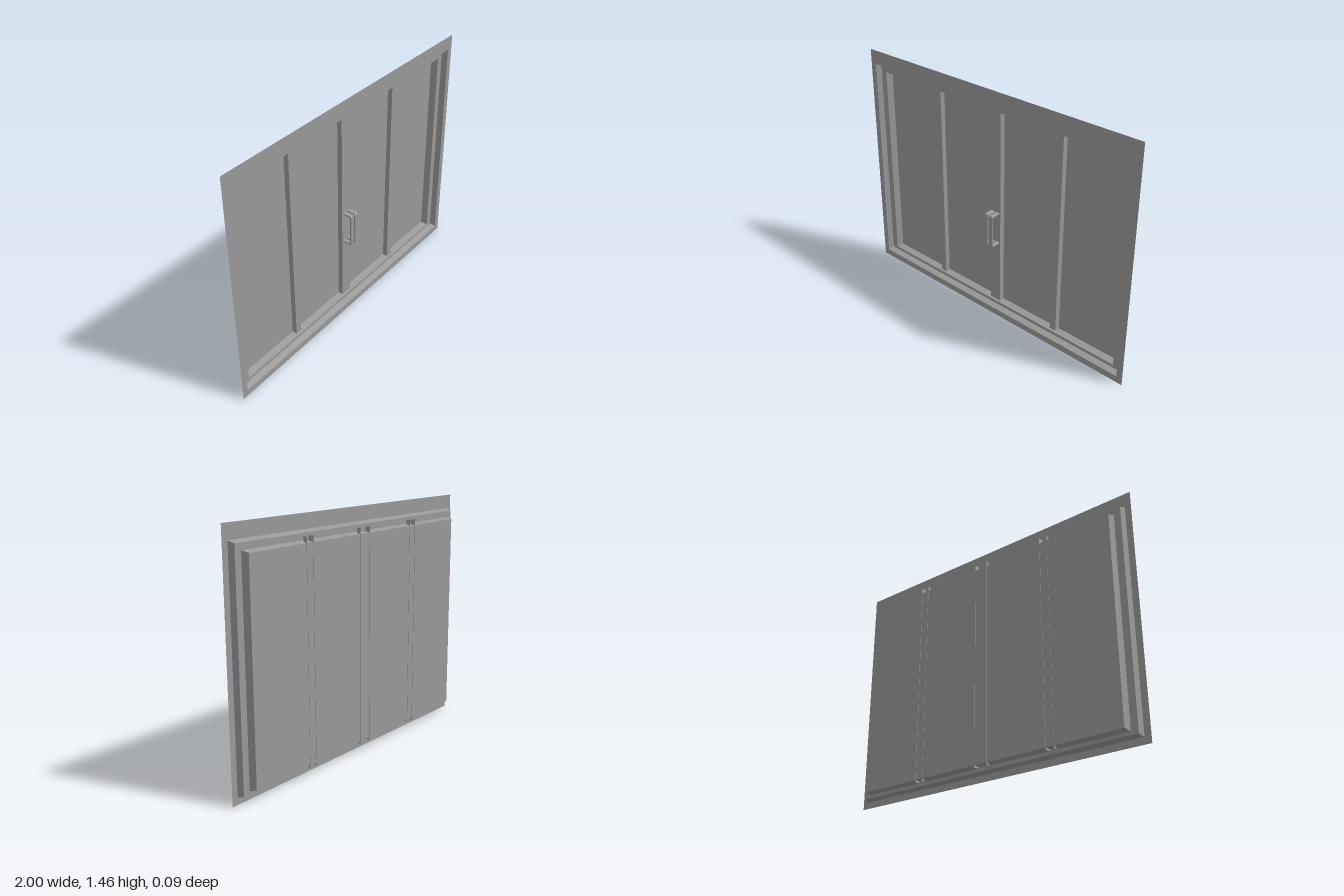
import * as THREE from 'three';

const mat = new THREE.MeshStandardMaterial({ color: 0x999999, side: THREE.DoubleSide, flatShading: true });

function add(parent, name, geometry) {
  const mesh = new THREE.Mesh(geometry, mat);
  mesh.name = name;
  parent.add(mesh);
  return mesh;
}

// Four-sided band between two rectangles, each given as [halfWidth, bottom, top, z]
function band(a, b) {
  const corners = ([w, y0, y1, z]) => [[-w, y0, z], [w, y0, z], [w, y1, z], [-w, y1, z]];
  const A = corners(a), B = corners(b), pos = [];
  for (let i = 0; i < 4; i++) {
    const j = (i + 1) % 4;
    pos.push(...A[i], ...A[j], ...B[j], ...A[i], ...B[j], ...B[i]);
  }
  const g = new THREE.BufferGeometry();
  g.setAttribute('position', new THREE.Float32BufferAttribute(pos, 3));
  g.computeVertexNormals();
  return g;
}

// Upright channel: a front face and two slanted sides, open at the back and ends
function channel(width, y0, y1, zBack, zFront) {
  const g = new THREE.PlaneGeometry(1, y1 - y0, 3, 1).toNonIndexed();
  const p = g.attributes.position;
  for (let i = 0; i < p.count; i++) {
    const x = p.getX(i), outer = Math.abs(x) > 0.4;
    p.setX(i, Math.sign(x) * (width / 2 - (outer ? 0 : 0.005)));
    p.setZ(i, outer ? zBack : zFront);
  }
  g.translate(0, (y0 + y1) / 2, 0);
  g.computeVertexNormals();
  return g;
}

// C-shaped pull handle drawn in depth (x) and height (y), extruded sideways
function handleGeometry(width) {
  const z0 = -0.018, z1 = 0.046, y0 = 0.479, y1 = 0.69, t = 0.012, c = 0.012, bevel = 0.003;
  const s = new THREE.Shape();
  s.moveTo(z0, y0);
  s.lineTo(z1 - c, y0);
  s.quadraticCurveTo(z1, y0, z1, y0 + c);
  s.lineTo(z1, y1 - c);
  s.quadraticCurveTo(z1, y1, z1 - c, y1);
  s.lineTo(z0, y1);
  s.lineTo(z0, y1 - t);
  s.lineTo(z1 - t - 0.005, y1 - t);
  s.lineTo(z1 - t, y1 - t - 0.005);
  s.lineTo(z1 - t, y0 + t + 0.005);
  s.lineTo(z1 - t - 0.005, y0 + t);
  s.lineTo(z0, y0 + t);
  s.closePath();
  const g = new THREE.ExtrudeGeometry(s, {
    depth: width - 2 * bevel, curveSegments: 3,
    bevelSize: bevel, bevelThickness: bevel, bevelOffset: -bevel, bevelSegments: 1,
  });
  g.translate(0, 0, bevel - width / 2);
  g.rotateY(-Math.PI / 2);
  return g;
}

export function createModel() {
  const model = new THREE.Group();
  model.name = 'slidingDoor';

  // Stepped frame, from the outer border back to the glass
  const steps = [
    ['outerBorder', [1, 0, 1.463, 0.034]],
    ['outerReveal', [0.962, 0.04, 1.377, 0.034]],
    ['innerBorder', [0.952, 0.051, 1.365, -0.002]],
    ['innerReveal', [0.91, 0.07, 1.327, -0.002]],
    ['glass', [0.899, 0.079, 1.317, -0.043]],
  ];
  for (let i = 0; i < steps.length - 1; i++) {
    add(model, steps[i][0], band(steps[i][1], steps[i + 1][1]));
  }

  // Glass pane closing the back of the frame
  const [w, y0, y1, z] = steps[4][1];
  add(model, 'glass', new THREE.PlaneGeometry(w * 2, y1 - y0)).position.set(0, (y0 + y1) / 2, z);

  // Posts dividing the four panels
  for (const [name, x, width] of [['rightPost', -0.462, 0.052], ['centrePost', 0, 0.088], ['leftPost', 0.462, 0.052]]) {
    add(model, name, channel(width, 0.065, 1.351, -0.045, -0.016)).position.x = x;
  }

  // Pair of pull handles on the centre post
  for (const side of [-1, 1]) {
    add(model, side < 0 ? 'rightHandle' : 'leftHandle', handleGeometry(0.027)).position.x = side * 0.019;
  }

  return model;
}
